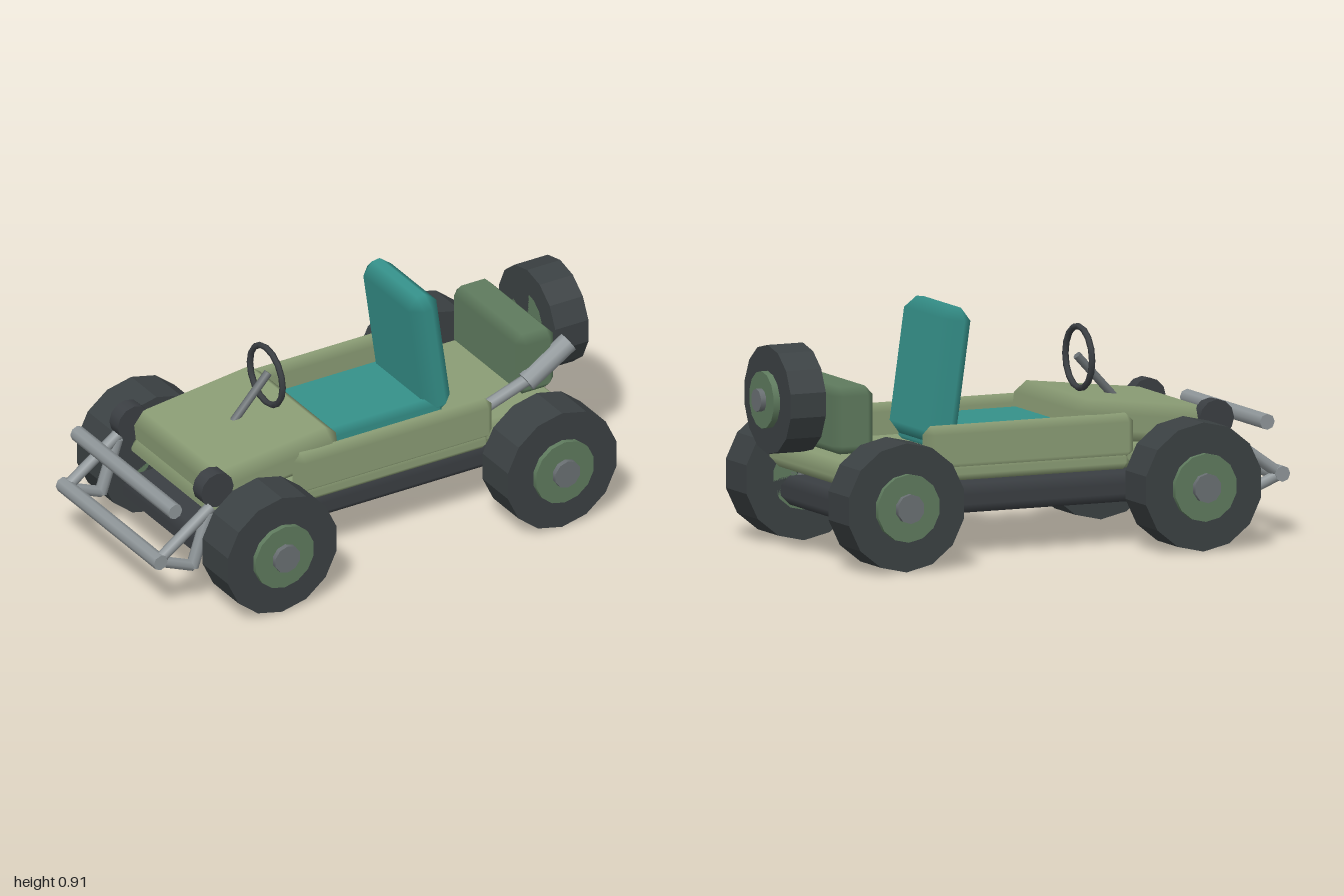
import * as THREE from 'three';
import { ConvexGeometry } from 'three/addons/geometries/ConvexGeometry.js';

const mat = (name, color, flatShading = false) => {
  const m = new THREE.MeshStandardMaterial({ color, flatShading });
  m.name = name;
  return m;
};

export function createModel() {
  const root = new THREE.Group();
  root.name = 'buggy';
  const olive = mat('oliveBody', 0x8b9d75);
  const green = mat('darkGreen', 0x5f7b5e);
  const teal = mat('tealSeat', 0x35918a);
  const rubber = mat('rubber', 0x3b4143, true);
  const dark = mat('darkChassis', 0x3b3f43);
  const chrome = mat('chrome', 0x8f9699);
  const steel = mat('steel', 0x6a7073);

  const add = (name, geo, material, x = 0, y = 0, z = 0, parent = root) => {
    const m = new THREE.Mesh(geo, material);
    m.name = name;
    m.position.set(x, y, z);
    parent.add(m);
    return m;
  };

  // Chamfered box: flat main faces, shading blended across the bevels
  const bevelBox = (w, h, d, b) => {
    const half = [w / 2, h / 2, d / 2];
    const pts = [];
    for (let axis = 0; axis < 3; axis++)
      for (const sx of [-1, 1]) for (const sy of [-1, 1]) for (const sz of [-1, 1]) {
        const s = [sx, sy, sz];
        pts.push(new THREE.Vector3(...half.map((v, i) => s[i] * (i === axis ? v : v - b))));
      }
    const geo = new ConvexGeometry(pts);
    const p = geo.attributes.position, n = geo.attributes.normal;
    for (let i = 0; i < p.count; i++) {
      const c = [p.getX(i), p.getY(i), p.getZ(i)];
      n.setXYZ(i, ...c.map((v, k) => (Math.abs(Math.abs(v) - half[k]) < 1e-4 ? Math.sign(v) : 0)));
    }
    return geo;
  };

  // Round bar between two points
  const rod = (name, a, b, r, material, sides = 8) => {
    const A = new THREE.Vector3(...a), B = new THREE.Vector3(...b);
    const m = add(name, new THREE.CylinderGeometry(r, r, A.distanceTo(B), sides), material);
    m.position.addVectors(A, B).multiplyScalar(0.5);
    m.quaternion.setFromUnitVectors(new THREE.Vector3(0, 1, 0), B.sub(A).normalize());
    return m;
  };

  // Wheel along +z, starting at its inner face
  const wheel = (name, r, width, hubR, hubOut, capR, capOut) => {
    const g = new THREE.Group();
    g.name = name;
    const disc = (part, rad, len, sides, m) =>
      add(part, new THREE.CylinderGeometry(rad, rad, len, sides).rotateX(Math.PI / 2), m, 0, 0, len / 2, g);
    disc('tire', r, width, 14, rubber);
    disc('hub', hubR, width + hubOut, 14, green);
    disc('hubCap', capR, width + capOut, 10, steel);
    root.add(g);
    return g;
  };

  // Chassis and body
  add('chassis', bevelBox(1.58, 0.107, 0.53, 0.035), dark, 0.01, 0.213, 0);
  add('tub', bevelBox(1.53, 0.092, 0.65, 0.04), olive, 0.055, 0.34, 0);
  add('hood', bevelBox(0.55, 0.15, 0.62, 0.045), olive, -0.435, 0.453, 0).rotation.z = 0.115;

  for (const s of [-1, 1]) {
    add('sidePod', bevelBox(0.85, 0.17, 0.072, 0.03), olive, 0.05, 0.417, s * 0.308);
    add('sideSill', bevelBox(0.82, 0.07, 0.06, 0.025), olive, 0.05, 0.33, s * 0.308);

    // Headlight
    add('headlight', new THREE.CylinderGeometry(0.07, 0.07, 0.06, 12).rotateX(Math.PI / 2),
      dark, -0.712, 0.46, s * 0.293);

    // Bumper side frame
    const z = s * 0.322;
    rod('bumperUpperStrut', [-0.965, 0.24, z], [-0.74, 0.4, z], 0.022, chrome);
    rod('bumperLowerStrut', [-0.965, 0.235, z], [-0.82, 0.175, z], 0.022, chrome);
    rod('bumperRearStrut', [-0.82, 0.17, z], [-0.75, 0.38, z], 0.024, chrome);

    // Road wheels
    for (const [name, x] of [['frontWheel', -0.56], ['rearWheel', 0.648]]) {
      const w = wheel(name, 0.24, 0.178, 0.127, 0.02, 0.055, 0.04);
      w.position.set(x, 0.242, s * 0.352);
      if (s < 0) w.rotation.y = Math.PI;
    }
  }
  for (const x of [-0.56, 0.648]) rod('axle', [x, 0.242, -0.36], [x, 0.242, 0.36], 0.028, steel);

  // Bumper cross bars
  rod('bumperLowerBar', [-0.97, 0.24, -0.345], [-0.97, 0.24, 0.345], 0.03, chrome);
  rod('bumperUpperBar', [-0.907, 0.437, -0.345], [-0.907, 0.437, 0.345], 0.03, chrome);

  // Seat
  add('seatCushion', bevelBox(0.5, 0.1, 0.385, 0.025), teal, 0.1, 0.425, 0);
  add('seatBack', bevelBox(0.122, 0.51, 0.405, 0.045), teal, 0.302, 0.66, 0).rotation.z = 0.14;

  // Steering
  add('steeringWheel', new THREE.TorusGeometry(0.115, 0.012, 6, 16).rotateY(Math.PI / 2),
    dark, -0.303, 0.67, 0);
  rod('steeringColumn', [-0.295, 0.678, 0], [-0.46, 0.5, 0], 0.016, steel);

  // Rear storage box and spare wheel
  add('storageBox', bevelBox(0.165, 0.25, 0.49, 0.032), green, 0.72, 0.531, 0);
  const spare = wheel('spareWheel', 0.203, 0.143, 0.107, 0.025, 0.043, 0.047);
  spare.position.set(0.81, 0.59, 0.02);
  spare.rotation.y = Math.PI / 2;

  // Exhaust
  rod('exhaustPipe', [0.48, 0.41, 0.24], [0.7, 0.49, 0.245], 0.024, chrome);
  rod('exhaustMuffler', [0.665, 0.475, 0.25], [0.845, 0.592, 0.253], 0.04, chrome, 10);

  return root;
}
